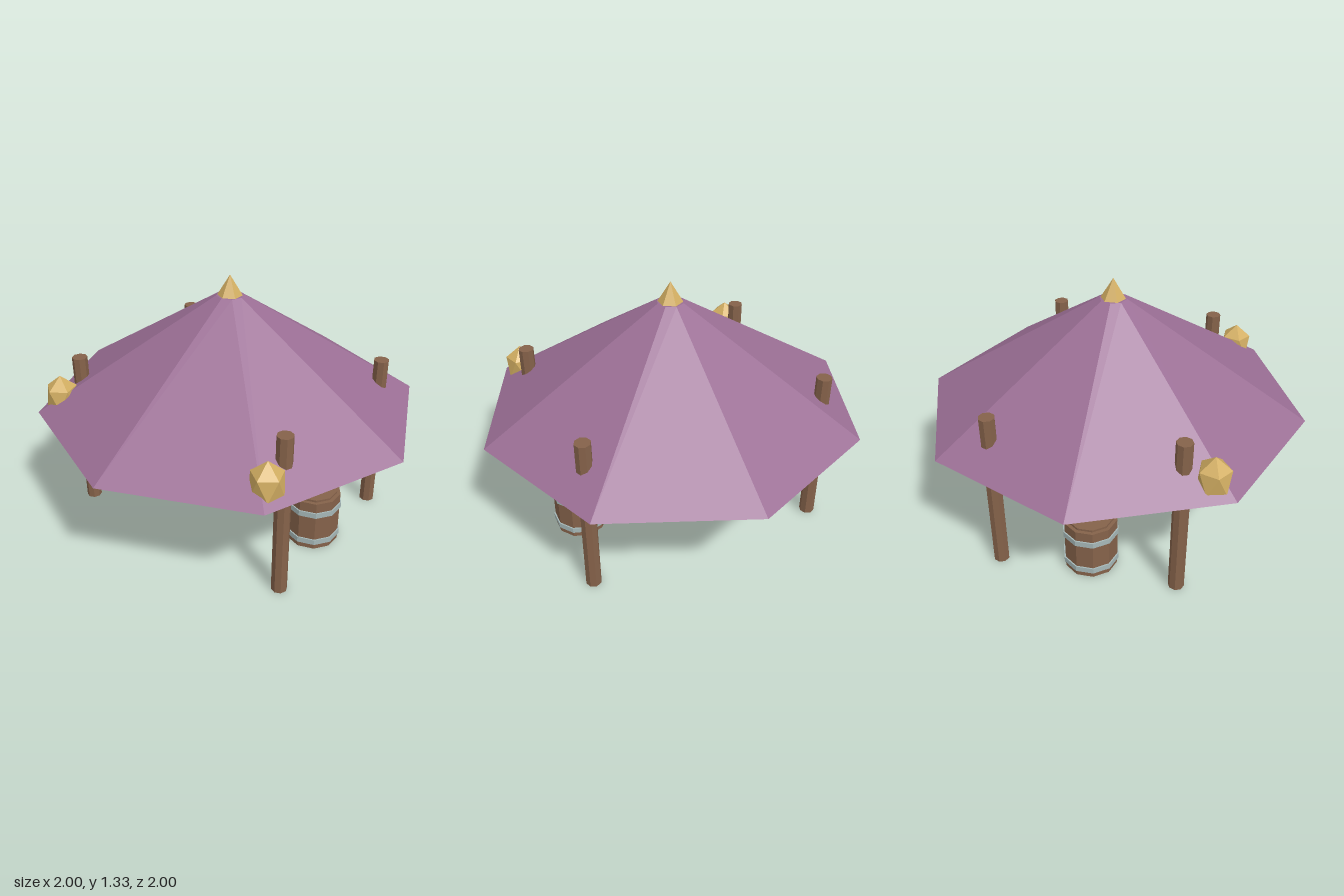
import * as THREE from 'three';

const flat = (name, color) => {
  const m = new THREE.MeshStandardMaterial({ color, flatShading: true });
  m.name = name;
  return m;
};

export function createModel() {
  const cloth = flat('purple cloth', 0x9b6f95);
  const wood = flat('brown wood', 0x85624a);
  const metal = flat('grey metal', 0xa6b8b8);
  const gold = flat('gold', 0xd2ae62);

  const model = new THREE.Group();
  model.name = 'marketTent';

  const add = (parent, name, geometry, material, x, y, z) => {
    const mesh = new THREE.Mesh(geometry, material);
    mesh.name = name;
    mesh.position.set(x, y, z);
    parent.add(mesh);
    return mesh;
  };

  // Eight-sided canopy with a closed underside and a pointed finial
  add(model, 'canopy', new THREE.CylinderGeometry(0.07, 1, 0.59, 8), cloth, 0, 0.93, 0);
  add(model, 'finial', new THREE.ConeGeometry(0.064, 0.105, 6), gold, 0, 1.277, 0);

  // Corner posts that poke through the canopy
  const postGeo = new THREE.CylinderGeometry(0.04, 0.04, 0.875, 8);
  for (const x of [-0.637, 0.637]) {
    for (const z of [-0.455, 0.455]) add(model, 'post', postGeo, wood, x, 0.4375, z);
  }

  // Tall faceted lanterns along the front: an icosahedron standing on a vertex
  const lanternGeo = new THREE.IcosahedronGeometry(1, 0);
  lanternGeo.rotateZ(Math.atan(2 / (1 + Math.sqrt(5))));
  const p = lanternGeo.attributes.position;
  let turn = 0;
  for (let i = 0; i < p.count; i++) {
    // Turn one vertex of the upper ring to the front
    if (p.getY(i) > 0.3 && p.getY(i) < 0.6) turn = -Math.atan2(p.getX(i), p.getZ(i));
  }
  lanternGeo.rotateY(turn);
  lanternGeo.scale(0.088, 0.115, 0.088);
  for (const x of [-0.642, 0, 0.642]) add(model, 'lantern', lanternGeo, gold, x, 0.705, 0.594);

  // Row of barrels with hoops, lid and a small knob
  const bodyGeo = new THREE.CylinderGeometry(0.138, 0.138, 0.285, 10);
  const hoopGeo = new THREE.CylinderGeometry(0.145, 0.145, 0.03, 10);
  const lidGeo = new THREE.CylinderGeometry(0.12, 0.12, 0.012, 10);
  const knobGeo = new THREE.BoxGeometry(0.042, 0.016, 0.064);
  for (const x of [-0.545, 0, 0.545]) {
    const barrel = new THREE.Group();
    barrel.name = 'barrel';
    barrel.position.x = x;
    add(barrel, 'barrelBody', bodyGeo, wood, 0, 0.1425, 0);
    for (const y of [0.045, 0.216]) add(barrel, 'hoop', hoopGeo, metal, 0, y, 0);
    add(barrel, 'lid', lidGeo, wood, 0, 0.29, 0);
    add(barrel, 'knob', knobGeo, cloth, 0, 0.301, 0);
    model.add(barrel);
  }
  return model;
}
